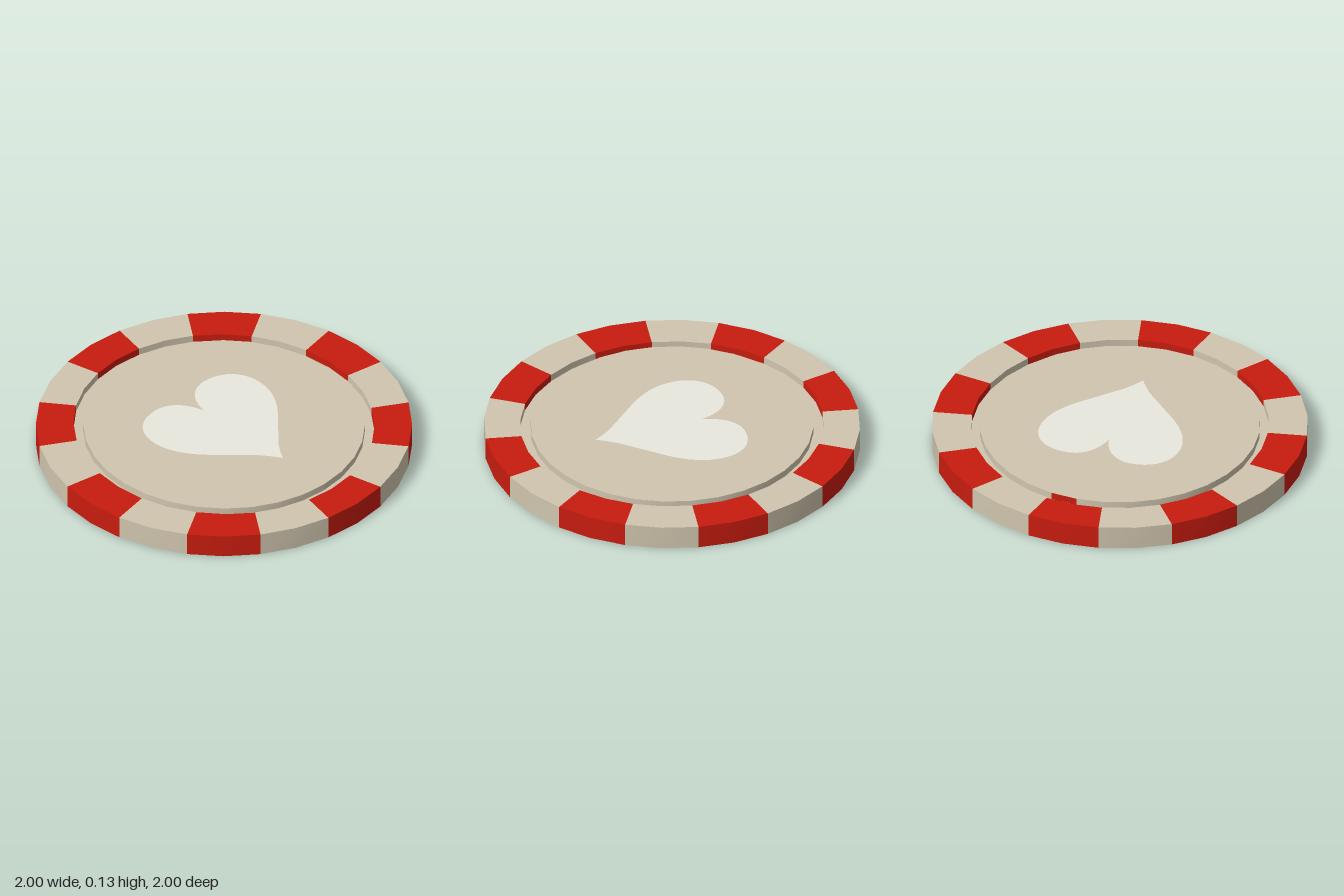
import * as THREE from 'three';
import { mergeGeometries } from 'three/addons/utils/BufferGeometryUtils.js';

const H = 0.13, SKIN = 0.001, FLOOR = 0.04;
const STEP = Math.PI / 16; // 32-sided chip

const ivory = new THREE.MeshStandardMaterial({ color: 0xd0c5ae });
const red = new THREE.MeshStandardMaterial({ color: 0xc81c0f });
const pale = new THREE.MeshStandardMaterial({ color: 0xe8e8df, side: THREE.DoubleSide });

// Sweep a profile of [rx, rz, y] points round the axis; each profile edge stays sharp
function sweep(profile, start, steps) {
  const strips = [];
  for (let i = 0; i + 1 < profile.length; i++) {
    const pos = [], index = [];
    for (let j = 0; j <= steps; j++) {
      const t = start + j * STEP;
      for (const [rx, rz, y] of [profile[i], profile[i + 1]]) {
        pos.push(rx * Math.sin(t), y, rz * Math.cos(t));
      }
      if (j < steps) {
        const a = j * 2;
        index.push(a, a + 2, a + 3, a, a + 3, a + 1);
      }
    }
    const g = new THREE.BufferGeometry();
    g.setAttribute('position', new THREE.Float32BufferAttribute(pos, 3));
    g.setIndex(index);
    g.computeVertexNormals();
    strips.push(g);
  }
  return mergeGeometries(strips);
}

// Heart outline, mirrored about x = 0
function heartShape() {
  const s = new THREE.Shape();
  s.moveTo(0, 0.16);
  s.bezierCurveTo(-0.02, 0.27, -0.09, 0.345, -0.18, 0.345);
  s.bezierCurveTo(-0.31, 0.345, -0.39, 0.26, -0.39, 0.14);
  s.bezierCurveTo(-0.39, 0.04, -0.34, -0.05, -0.26, -0.135);
  s.lineTo(-0.075, -0.325);
  s.quadraticCurveTo(-0.03, -0.38, 0, -0.435);
  s.quadraticCurveTo(0.03, -0.38, 0.075, -0.325);
  s.lineTo(0.26, -0.135);
  s.bezierCurveTo(0.34, -0.05, 0.39, 0.04, 0.39, 0.14);
  s.bezierCurveTo(0.39, 0.26, 0.31, 0.345, 0.18, 0.345);
  s.bezierCurveTo(0.09, 0.345, 0.02, 0.27, 0, 0.16);
  return s;
}

export function createModel() {
  const group = new THREE.Group();
  const add = (name, geometry, material) => {
    const mesh = new THREE.Mesh(geometry, material);
    mesh.name = name;
    group.add(mesh);
    return mesh;
  };

  // Rim of sixteen alternating blocks
  const rim = [[1, 1, 0], [1, 1, H], [0.79, 0.81, H], [0.79, 0.81, 0], [1, 1, 0]];
  for (let k = 0; k < 16; k++) {
    const isRed = k % 2 === 0;
    add(isRed ? 'redRimBlock' : 'ivoryRimBlock', sweep(rim, (2 * k - 1) * STEP, 2), isRed ? red : ivory);
  }

  // Centre disc with a groove round it on both faces
  const out = [0.79, 0.81], edge = [0.745, 0.753];
  const top = H - SKIN;
  add('discTop', sweep([[...out, H - FLOOR], [...edge, H - FLOOR], [...edge, top], [0, 0, top]], 0, 32), ivory);
  add('discBottom', sweep([[0, 0, SKIN], [...edge, SKIN], [...edge, FLOOR], [...out, FLOOR]], 0, 32), ivory);

  // Single red facet on the groove's inner wall
  add('redGrooveFacet', sweep([[0.746, 0.754, H - FLOOR], [0.746, 0.754, top]], Math.PI - STEP, 1), red);

  // Heart inlay on both faces
  const heart = new THREE.ShapeGeometry(heartShape(), 10).rotateX(-Math.PI / 2).translate(0.01, 0, 0);
  add('heartTop', heart, pale).position.y = H;
  add('heartBottom', heart, pale);

  return group;
}
